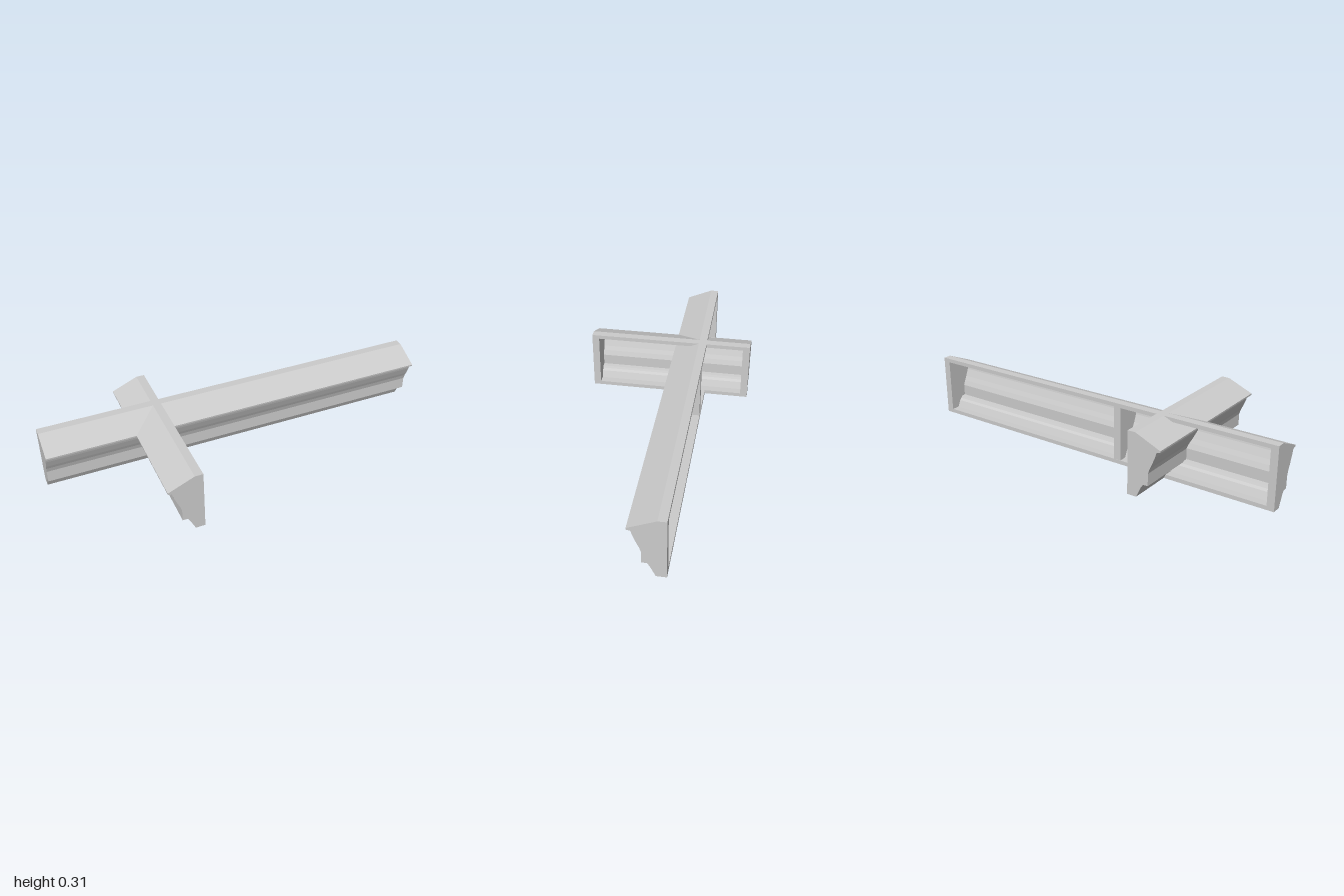
import * as THREE from 'three';

// Moulding section: [depth from the open back, height]
const OUTER = [
  [0, 0.315], [0.041, 0.315], [0.172, 0.259], [0.171, 0.25], [0.153, 0.247],
  [0.144, 0.218], [0.128, 0.179], [0.118, 0.158], [0.11, 0.133], [0.11, 0.072],
  [0.085, 0.071], [0.073, 0.053], [0.048, 0], [0, 0],
];
// Hollow behind the face, from the bottom flange up
const INNER = [
  [0, 0.02], [0.042, 0.02], [0.058, 0.055], [0.069, 0.065], [0.075, 0.076],
  [0.097, 0.078], [0.097, 0.134], [0.107, 0.16], [0.118, 0.182], [0.133, 0.22],
  [0.14, 0.252], [0.15, 0.255], [0.045, 0.295], [0, 0.295],
];
const CAP = 0.037;

export function createModel() {
  const group = new THREE.Group();
  const material = new THREE.MeshStandardMaterial({ color: 0xcccccc });

  const extrude = (points, from, to) => {
    const shape = new THREE.Shape(points.map(([d, y]) => new THREE.Vector2(-d, y)));
    return new THREE.ExtrudeGeometry(shape, { depth: to - from, bevelEnabled: false }).translate(0, 0, from);
  };

  // A beam lies along z with its open back at x = 0 and its face towards -x
  const beam = (name, half, walls) => {
    const g = new THREE.Group();
    g.name = name;
    const add = (part, geometry) => {
      const mesh = new THREE.Mesh(geometry, material);
      mesh.name = part;
      g.add(mesh);
    };
    add('mouldedShell', extrude([...OUTER, ...INNER], -half + CAP, half - CAP));
    add('endCap', extrude(OUTER, -half, -half + CAP));
    add('endCap', extrude(OUTER, half - CAP, half));
    // Partitions sit just inside the shell so they never fight its surface
    for (const at of walls) {
      const section = OUTER.map(([d, y]) => [d * 0.95 + 0.001, 0.004 + y * 0.975]);
      add('partition', extrude(section, at, at + CAP));
    }
    group.add(g);
    return g;
  };

  const long = beam('longCornice', 1, [-0.182]);
  long.rotation.y = Math.PI / 2;
  long.position.z = -0.195;

  const cross = beam('crossCornice', 0.427, []);
  cross.position.x = -0.385;

  return group;
}
